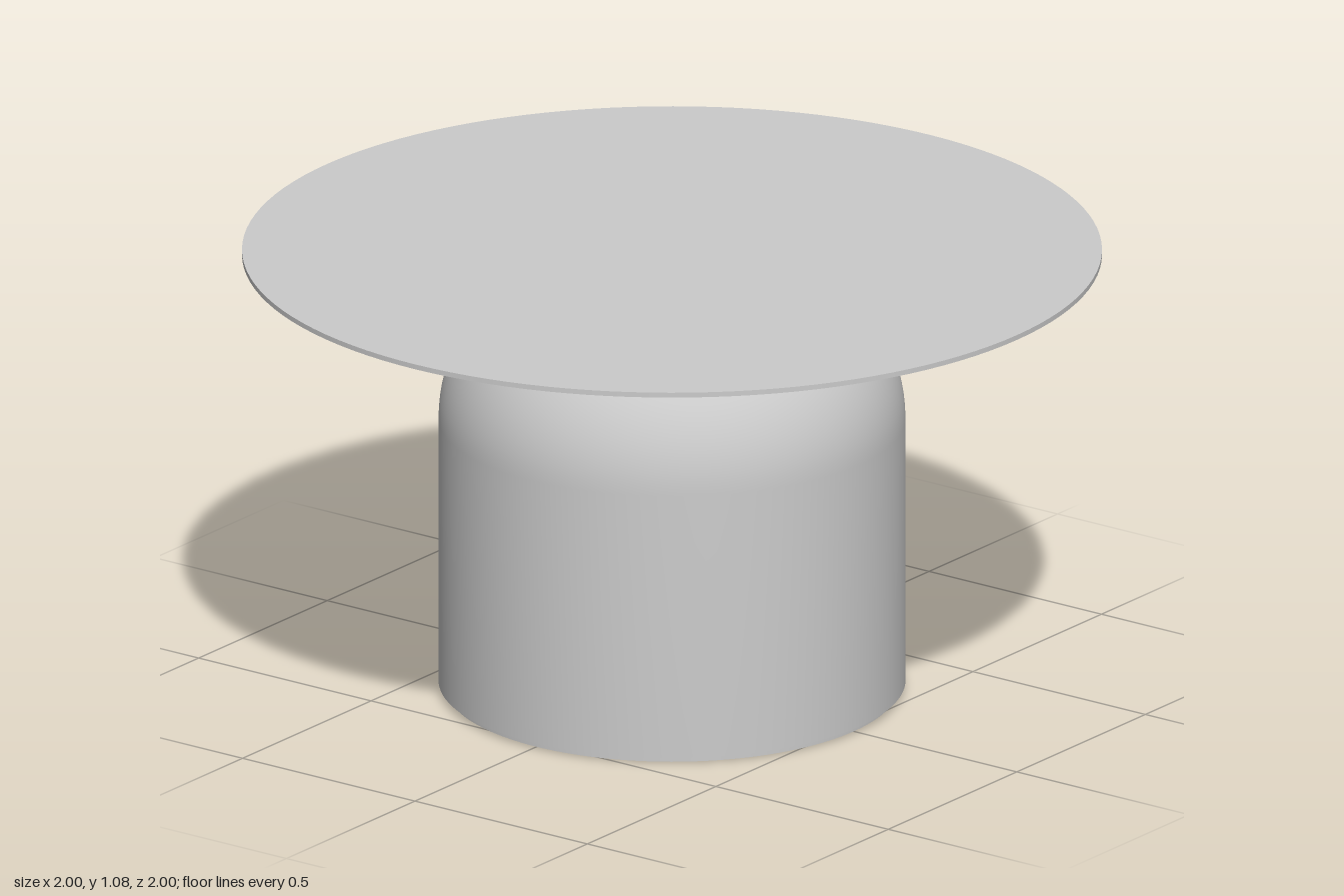
import * as THREE from 'three';
import { toCreasedNormals } from 'three/addons/utils/BufferGeometryUtils.js';

const SEGMENTS = 128;

export function createModel() {
  const model = new THREE.Group();
  const material = new THREE.MeshStandardMaterial({ color: 0xcccccc });

  const add = (name, geometry, y = 0) => {
    const mesh = new THREE.Mesh(geometry, material);
    mesh.name = name;
    mesh.position.y = y;
    model.add(mesh);
  };

  // Thin round top
  const topY = 1.077, topThickness = 0.012;
  add('tableTop', new THREE.CylinderGeometry(1, 1, topThickness, SEGMENTS), topY - topThickness / 2);

  // Drum base: straight wall rounded over into a small flat crown
  const radius = 0.543, fillet = 0.405, crownY = topY - topThickness, footHeight = 0.015;
  const profile = [new THREE.Vector2(0, footHeight), new THREE.Vector2(radius, footHeight)];
  const steps = 24;
  for (let i = 0; i <= steps; i++) {
    const a = (i / steps) * Math.PI / 2;
    profile.push(new THREE.Vector2(
      radius - fillet + fillet * Math.cos(a),
      crownY - fillet + fillet * Math.sin(a)
    ));
  }
  profile.push(new THREE.Vector2(0, crownY));
  add('base', toCreasedNormals(new THREE.LatheGeometry(profile, SEGMENTS), 0.6));

  // Recessed foot pad under the base
  add('footPad', new THREE.CylinderGeometry(0.527, 0.527, footHeight, SEGMENTS), footHeight / 2);

  return model;
}
